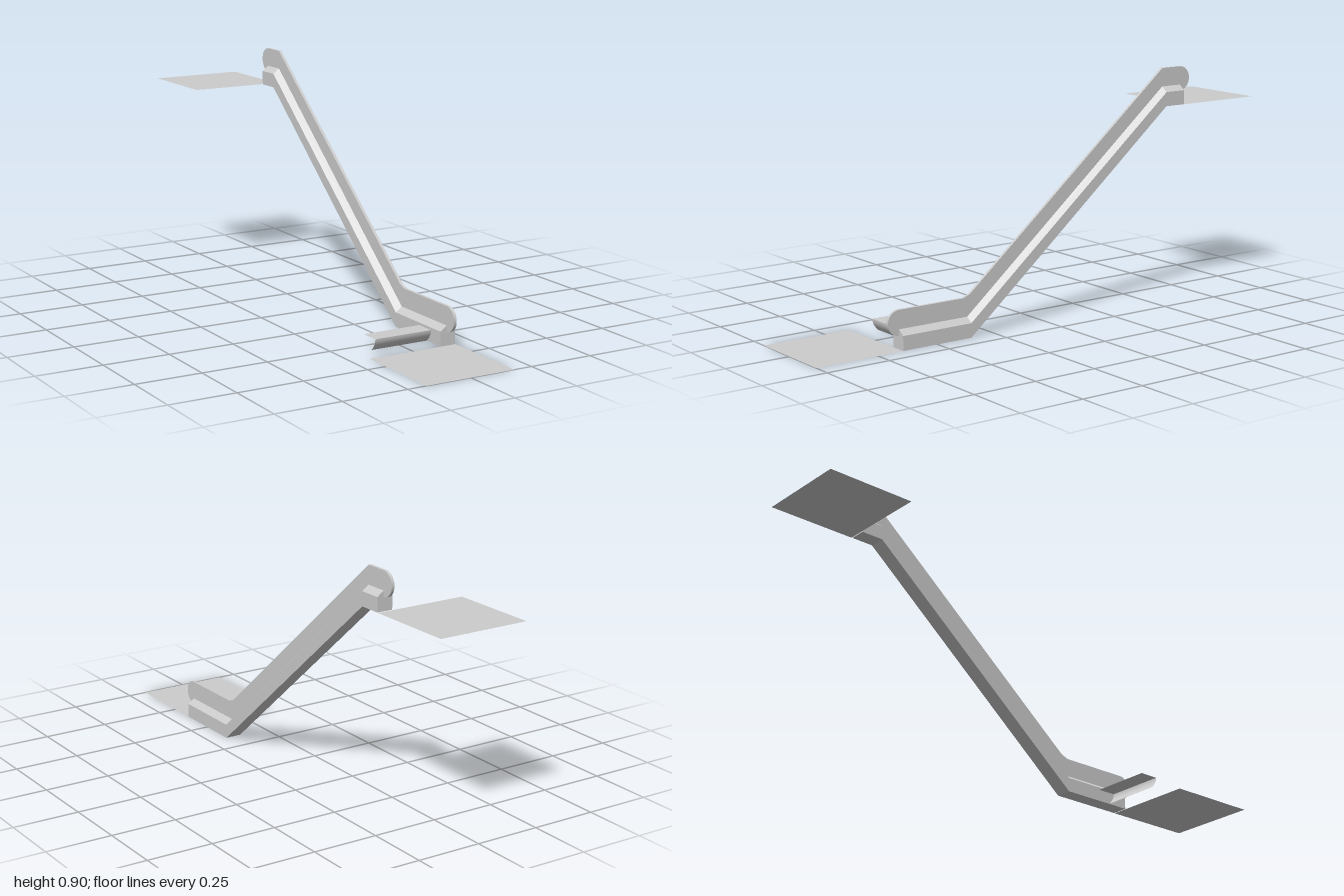
import * as THREE from 'three';

const TOP = 0.757;      // height of the upper floor
const HALF = 0.178;     // half width of the landings
const RAIL_X = 0.146;   // centre line of the balustrade

// The run of the escalator as [z, y], from the lower to the upper end
const RUN = [[0.645, 0], [0.353, 0], [-0.557, TOP], [-0.645, TOP]];

const material = new THREE.MeshStandardMaterial({ color: 0xcccccc, side: THREE.DoubleSide });

function part(name, geometry) {
  const mesh = new THREE.Mesh(geometry, material);
  mesh.name = name;
  return mesh;
}

// Sweep a convex [x, y] section (counter-clockwise seen from +z) along the run, with capped ends
function sweep(section, run) {
  const pos = [];
  const at = (s, c) => [section[c][0], section[c][1] + run[s][1], run[s][0]];
  const tri = (a, b, c) => pos.push(...a, ...b, ...c);
  const n = section.length, last = run.length - 1;
  for (let s = 0; s < last; s++) {
    for (let c = 0; c < n; c++) {
      const d = (c + 1) % n;
      tri(at(s, c), at(s + 1, c), at(s + 1, d));
      tri(at(s, c), at(s + 1, d), at(s, d));
    }
  }
  for (let c = 1; c < n - 1; c++) {
    tri(at(0, 0), at(0, c), at(0, c + 1));
    tri(at(last, 0), at(last, c + 1), at(last, c));
  }
  const g = new THREE.BufferGeometry();
  g.setAttribute('position', new THREE.Float32BufferAttribute(pos, 3));
  g.computeVertexNormals();
  return g;
}

// Thin upright panel with rounded ends; shape x runs towards -z
function balustradeGeometry() {
  const low = 0.05, high = 0.143, r = (high - low) / 2, mid = (high + low) / 2;
  const s = new THREE.Shape();
  s.moveTo(-0.645, low);
  s.lineTo(-0.353, low);
  s.lineTo(0.557, TOP + low);
  s.absarc(0.645, TOP + mid, r, -Math.PI / 2, Math.PI / 2, false);
  s.lineTo(0.557, TOP + high);
  s.lineTo(-0.34, high + 0.012);
  s.lineTo(-0.37, high);
  s.absarc(-0.645, mid, r, Math.PI / 2, Math.PI * 1.5, false);
  const width = 0.011;
  const g = new THREE.ExtrudeGeometry(s, { depth: width, bevelEnabled: false, curveSegments: 16 });
  return g.translate(0, 0, -width / 2).rotateY(Math.PI / 2).translate(RAIL_X, 0, 0);
}

// Flat floor plate without thickness
function landing(name, y, z0, z1) {
  const g = new THREE.PlaneGeometry(HALF * 2, z1 - z0).rotateX(-Math.PI / 2);
  return part(name, g.translate(0, y, (z0 + z1) / 2));
}

// Curved riser: a sheet bent backwards towards its foot
function riserGeometry(x0, x1, height, z) {
  const g = new THREE.PlaneGeometry(x1 - x0, height, 1, 8);
  g.translate((x0 + x1) / 2, height / 2, 0);
  const p = g.attributes.position;
  for (let i = 0; i < p.count; i++) {
    const drop = 1 - p.getY(i) / height;
    p.setZ(i, z - 0.025 * drop * drop);
  }
  g.computeVertexNormals();
  return g;
}

export function createModel() {
  const model = new THREE.Group();
  model.name = 'escalatorSide';

  // Skirt with a ridged top
  const section = [[0.115, 0], [0.177, 0], [0.177, 0.054], [RAIL_X, 0.077], [0.115, 0.054]];
  model.add(part('skirt', sweep(section, RUN)));
  model.add(part('balustrade', balustradeGeometry()));

  // Floor plates at both ends
  model.add(landing('lowerLanding', 0, 0.648, 1));
  model.add(landing('upperLanding', TOP, -1, -0.65));

  // Single step: tread and riser sheets
  const step = new THREE.Group();
  step.name = 'step';
  const x0 = -0.117, x1 = 0.115, height = 0.045, back = 0.51, front = 0.585;
  const tread = new THREE.PlaneGeometry(x1 - x0, front - back).rotateX(-Math.PI / 2);
  tread.translate((x0 + x1) / 2, height, (back + front) / 2);
  step.add(part('tread', tread), part('riser', riserGeometry(x0, x1, height, front)));
  model.add(step);

  return model;
}
